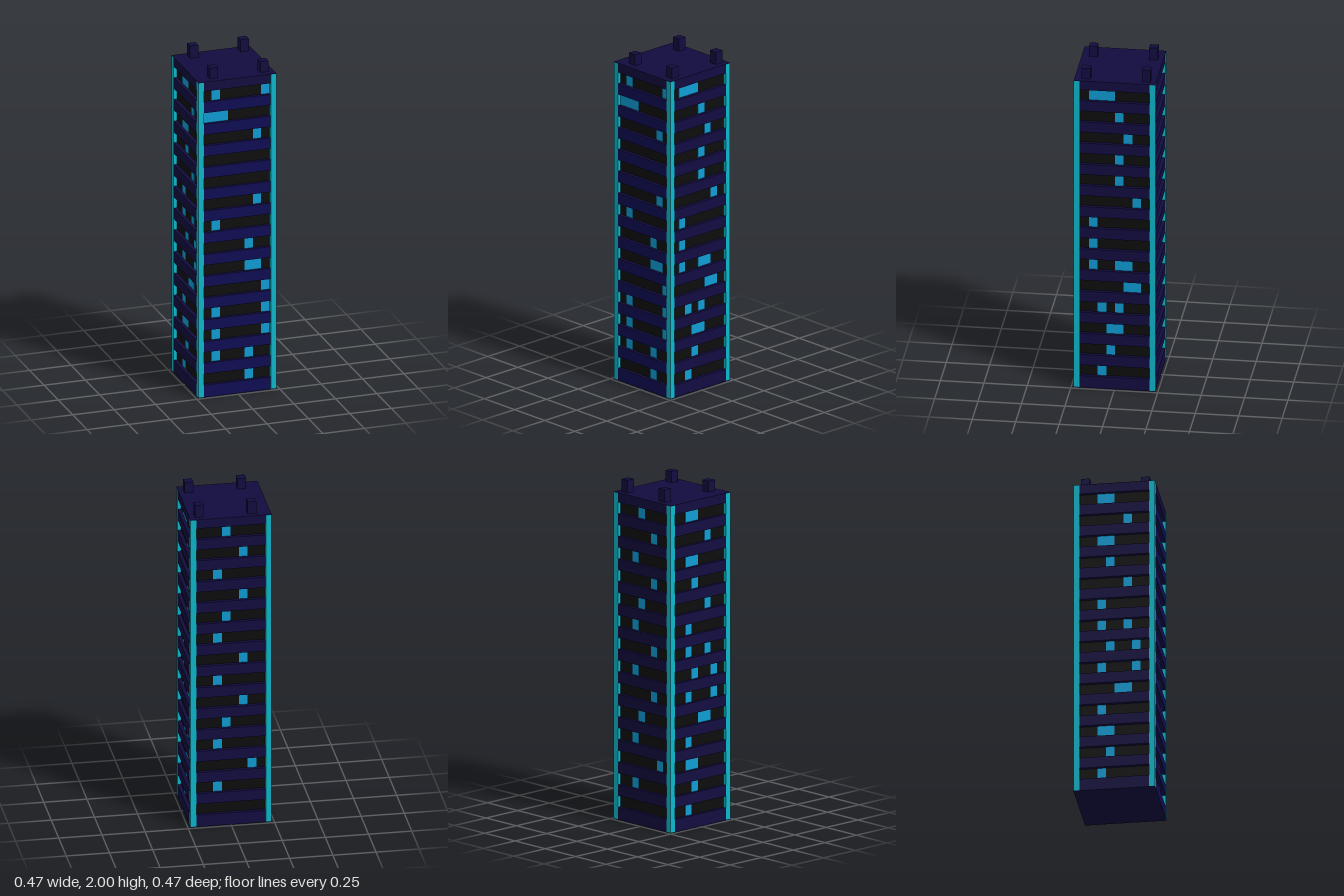
import * as THREE from 'three';

const HALF = 0.235, INNER = 0.201, TOP = 1.925, GLASS = 0.213;
const ROWS = 14, ROW_Y = 0.108, STEP = 0.1328, BAND = 0.068, CELL = 0.05;

// lit window columns per storey, bottom to top, counted from the left of each face
const LIT = {
  front: ['5', '15', '17', '17', '7', '56', '5', '1', '6', '', '', '6', '012', '17'],
  right: ['2', '3', '34', '24', '56', '145', '1', '1', '6', '4', '4', '5', '4', '123'],
  back: ['', '2', '6', '2', '3', '5', '2', '5', '2', '3', '5', '2', '5', '3'],
  left: ['2', '3', '23', '2', '45', '26', '36', '25', '2', '5', '3', '23', '5', '23'],
};
const TURN = { front: 0, right: Math.PI / 2, back: Math.PI, left: -Math.PI / 2 };

export function createModel() {
  const mat = (color) => new THREE.MeshStandardMaterial({ color });
  const navy = mat(0x120c40), blue = mat(0x0f0c54), black = mat(0x0d0d0d);
  const cyan = mat(0x0cb8cc), lit = mat(0x0f9dd6);
  const model = new THREE.Group();
  model.name = 'tower';

  const box = (name, material, w, h, d, x, y, z, parent = model) => {
    const mesh = new THREE.Mesh(new THREE.BoxGeometry(w, h, d), material);
    mesh.name = name;
    mesh.position.set(x, y, z);
    parent.add(mesh);
  };

  // dark glass core, recessed behind the floor slabs
  box('glassCore', black, GLASS * 2, TOP - 0.02, GLASS * 2, 0, TOP / 2, 0);

  // floor slabs fill the gaps between the window bands
  const slabSides = [navy, navy, navy, navy, blue, navy];
  for (let i = 0; i <= ROWS; i++) {
    const low = i === 0 ? 0.001 : ROW_Y + (i - 1) * STEP + BAND / 2;
    const high = i === ROWS ? TOP - 0.001 : ROW_Y + i * STEP - BAND / 2;
    const w = HALF * 2 - 0.002;
    box('floorSlab', i === ROWS ? navy : slabSides, w, high - low, w, 0, (low + high) / 2, 0);
  }

  // bright corner posts, capped by the base and roof plates
  const post = HALF - INNER, mid = (HALF + INNER) / 2;
  for (const sx of [-1, 1]) for (const sz of [-1, 1]) {
    box('cornerPost', cyan, post, TOP - 0.004, post, sx * mid, TOP / 2, sz * mid);
  }
  box('basePlate', navy, HALF * 2, 0.002, HALF * 2, 0, 0.001, 0);
  box('roofPlate', navy, HALF * 2, 0.002, HALF * 2, 0, TOP - 0.001, 0);

  // lit windows on the four faces
  for (const side of Object.keys(LIT)) {
    const face = new THREE.Group();
    face.name = side + 'Windows';
    face.rotation.y = TURN[side];
    LIT[side].forEach((columns, row) => {
      for (const c of columns) {
        box('litWindow', lit, CELL, BAND, 0.004,
          (Number(c) - 3.5) * CELL, ROW_Y + row * STEP, GLASS, face);
      }
    });
    model.add(face);
  }

  // rooftop blocks
  for (const x of [-0.127, 0.178]) {
    for (const [z, top] of [[-0.178, 2], [0.168, 1.99]]) {
      box('roofBlock', navy, 0.05, top - TOP, 0.05, x, (top + TOP) / 2, z);
    }
  }
  return model;
}
